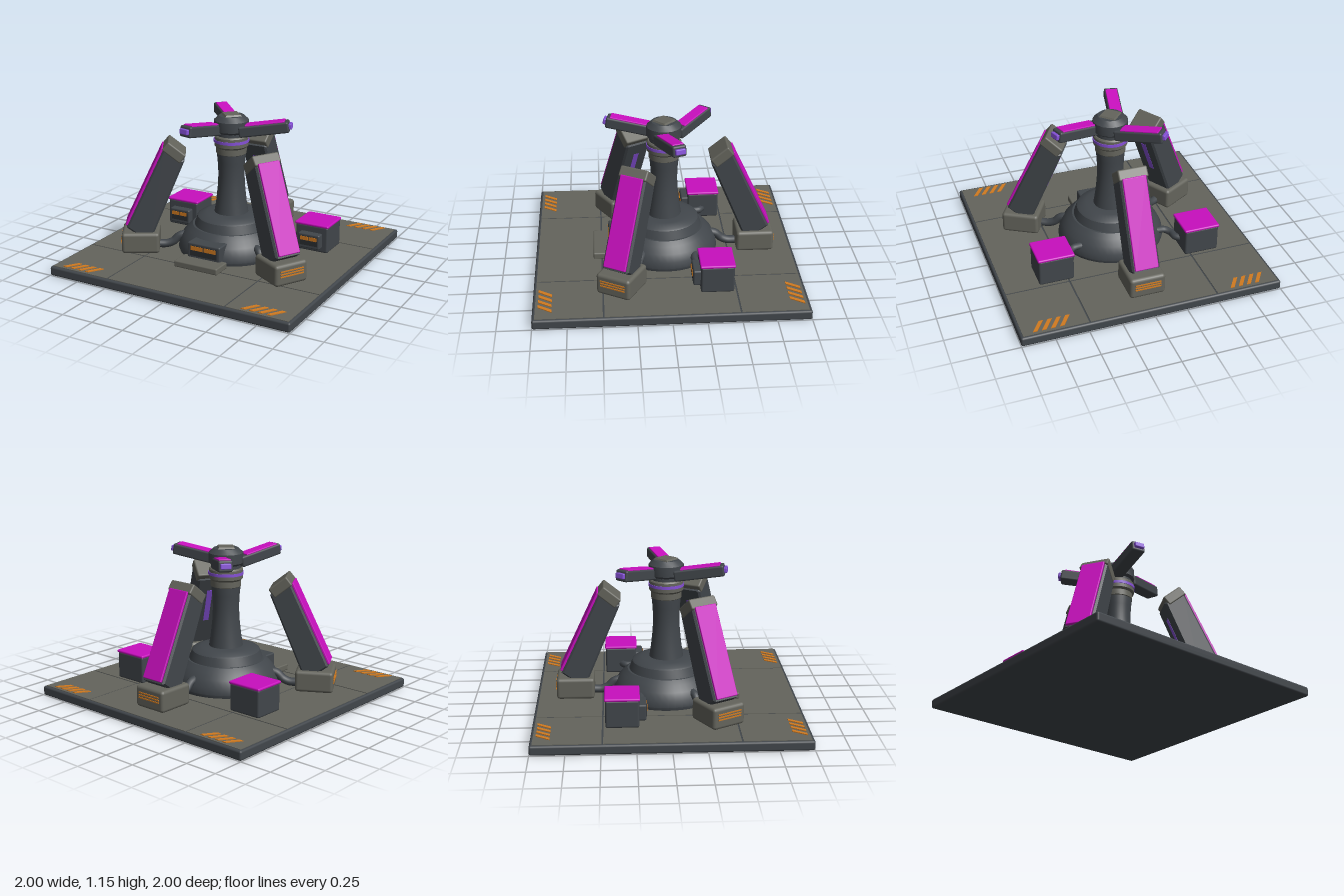
import * as THREE from 'three';
import { toCreasedNormals } from 'three/addons/utils/BufferGeometryUtils.js';
import { RoundedBoxGeometry } from 'three/addons/geometries/RoundedBoxGeometry.js';

const material = (name, color) => Object.assign(new THREE.MeshStandardMaterial({ color }), { name });
const rad = THREE.MathUtils.degToRad;

export function createModel() {
  const dark = material('dark steel', 0x41464b);
  const grey = material('warm grey plate', 0x64645c);
  const magenta = material('magenta panel', 0xc80fbe);
  const purple = material('purple light', 0x8550d6);
  const orange = material('orange marking', 0xd07a20);
  const black = material('recess black', 0x2a2d30);

  const model = new THREE.Group();
  model.name = 'pylonStation';

  const add = (parent, name, geometry, mat, x = 0, y = 0, z = 0) => {
    const mesh = new THREE.Mesh(geometry, mat);
    mesh.name = name;
    mesh.position.set(x, y, z);
    parent.add(mesh);
    return mesh;
  };
  const group = (parent, name, angle = 0) => {
    const g = new THREE.Group();
    g.name = name;
    g.rotation.y = rad(angle);
    parent.add(g);
    return g;
  };
  const rounded = (w, h, d, r = 0.015) => new RoundedBoxGeometry(w, h, d, 2, r);
  const box = (w, h, d) => new THREE.BoxGeometry(w, h, d);
  const lathe = (points, sides = 40) => toCreasedNormals(
    new THREE.LatheGeometry(points.map(p => new THREE.Vector2(...p)), sides), rad(28));
  const tube = (points, r) => new THREE.TubeGeometry(
    new THREE.CatmullRomCurve3(points.map(p => new THREE.Vector3(...p))), 24, r, 10);

  // Floor slab with nine tiles separated by narrow seams
  add(model, 'baseSlab', rounded(2, 0.072, 2, 0.015), dark, 0, 0.036, 0);
  const spans = [[-0.98, -0.496], [-0.484, 0.484], [0.496, 0.98]];
  for (const [x0, x1] of spans) {
    for (const [z0, z1] of spans) {
      add(model, 'floorTile', box(x1 - x0, 0.02, z1 - z0), grey, (x0 + x1) / 2, 0.066, (z0 + z1) / 2);
    }
  }

  // Slanted hazard bars in each corner
  const bar = new THREE.Shape([[-0.05, -0.05], [-0.018, -0.05], [0.05, 0.05], [0.018, 0.05]]
    .map(p => new THREE.Vector2(...p)));
  const barGeometry = new THREE.ExtrudeGeometry(bar, { depth: 0.006, bevelEnabled: false });
  for (const sx of [-1, 1]) {
    for (const sz of [-1, 1]) {
      for (let i = 0; i < 4; i++) {
        const x = sx * 0.755 + (i - 1.5) * 0.066;
        add(model, 'hazardBar', barGeometry, orange, x, 0.076, sz * 0.91).rotation.x = -Math.PI / 2;
      }
    }
  }

  // Central dome, column, collar and hub
  add(model, 'dome', lathe([[0.4, 0.07], [0.41, 0.1], [0.402, 0.15], [0.375, 0.205], [0.335, 0.25], [0.3, 0.28],
    [0.285, 0.28], [0.262, 0.345], [0.25, 0.355], [0.19, 0.377], [0.1, 0.38]], 48), dark);
  add(model, 'column', lathe([[0.132, 0.37], [0.118, 0.46], [0.105, 0.58], [0.1, 0.68], [0.105, 0.78],
    [0.113, 0.86], [0.113, 1.02]]), dark);
  add(model, 'collar', lathe([[0.105, 0.84], [0.116, 0.85], [0.116, 0.895], [0.13, 0.91], [0.13, 0.98],
    [0.122, 0.99], [0.08, 0.99]]), grey);
  add(model, 'collarLight', lathe([[0.12, 0.938], [0.135, 0.938], [0.135, 0.96], [0.12, 0.96]]), purple);
  add(model, 'hub', lathe([[0.08, 1.0], [0.105, 1.005], [0.133, 1.03], [0.133, 1.105], [0.095, 1.14], [0, 1.14]], 16), dark);
  add(model, 'hubCap', new THREE.CylinderGeometry(0.08, 0.097, 0.02, 4).toNonIndexed(), grey, 0, 1.142, 0)
    .geometry.computeVertexNormals();

  // Three pinwheel arms, each offset from the hub axis and tilted up
  for (let k = 0; k < 3; k++) {
    const spoke = group(model, 'arm', 18.7 + k * 120);
    const arm = group(spoke, 'armTilt');
    arm.position.set(0.27, 1.066, 0.062);
    arm.rotation.z = rad(9);
    add(arm, 'armBeam', rounded(0.38, 0.084, 0.108, 0.014), dark, -0.01, 0, 0);
    add(arm, 'armPanel', rounded(0.3, 0.016, 0.09, 0.005), magenta, 0.003, 0.042, 0);
    add(arm, 'armTipLight', rounded(0.04, 0.042, 0.078, 0.008), purple, 0.182, 0, 0);
  }

  // Leaning pylon profile, drawn as distance outward against height
  const legShape = new THREE.Shape([[0.61, 0.2], [0.7, 0.2], [0.805, 0.278], [0.51, 0.905], [0.355, 0.81]]
    .map(p => new THREE.Vector2(...p)));
  const legGeometry = new THREE.ExtrudeGeometry(legShape, {
    depth: 0.186, bevelThickness: 0.014, bevelSize: 0.014, bevelOffset: -0.014, bevelSegments: 1,
  });
  legGeometry.translate(0, 0, -0.093);
  for (const angle of [90, -30, 210]) {
    const pylon = group(model, 'pylon', angle);
    add(pylon, 'pylonFoot', rounded(0.29, 0.165, 0.275, 0.025), grey, 0.7, 0.157, 0);
    add(pylon, 'pylonLeg', legGeometry, dark);
    add(pylon, 'pylonPanel', rounded(0.02, 0.68, 0.18, 0.006), magenta, 0.662, 0.6, 0).rotation.z = rad(25.2);
    add(pylon, 'pylonCap', rounded(0.17, 0.082, 0.225, 0.012), grey, 0.433, 0.876, 0).rotation.z = rad(38.8);
    add(pylon, 'pylonLight', box(0.009, 0.3, 0.045), purple, 0.455, 0.578, 0).rotation.z = rad(22.7);
    for (const y of [0.15, 0.17, 0.19]) add(pylon, 'footStripe', box(0.009, 0.009, 0.2), orange, 0.846, y, 0);
    // Pipe from dome to foot
    add(pylon, 'footPipe', tube([[0.33, 0.19, 0], [0.4, 0.175, 0], [0.45, 0.13, 0], [0.5, 0.11, 0], [0.58, 0.11, 0]], 0.032), dark);
  }

  // Vent housing with a recessed grille and two lit slots
  const vent = (parent, w, h, d, x, y, front) => {
    const g = group(parent, 'vent');
    g.position.set(x, y, front);
    add(g, 'ventHousing', rounded(w, h, d, 0.012), dark, 0, 0, -d / 2);
    add(g, 'ventRecess', box(w * 0.82, h * 0.62, 0.006), black, 0, 0.004, 0);
    for (const s of [-1, 1]) {
      add(g, 'ventSlot', box(w * 0.36, h * 0.25, 0.009), orange, s * w * 0.2, h * 0.19, 0.002);
    }
  };
  vent(model, 0.28, 0.13, 0.14, 0, 0.175, 0.432);
  add(model, 'doorStep', rounded(0.365, 0.05, 0.16, 0.01), grey, 0, 0.1, 0.475);

  // Two supply crates, each piped to the dome
  for (const s of [-1, 1]) {
    const crate = group(model, s > 0 ? 'leftCrate' : 'rightCrate');
    add(crate, 'crateBody', rounded(0.27, 0.21, 0.245, 0.015), dark, s * 0.58, 0.18, -0.348);
    add(crate, 'crateLid', rounded(0.282, 0.022, 0.257, 0.01), magenta, s * 0.58, 0.29, -0.348);
    vent(crate, 0.18, 0.12, 0.07, s * 0.58, 0.172, -0.172);
    add(crate, 'cratePipe', tube([[s * 0.3, 0.17, -0.21], [s * 0.375, 0.16, -0.21], [s * 0.415, 0.15, -0.25],
      [s * 0.425, 0.15, -0.31], [s * 0.47, 0.15, -0.345]], 0.028), dark);
  }

  return model;
}
